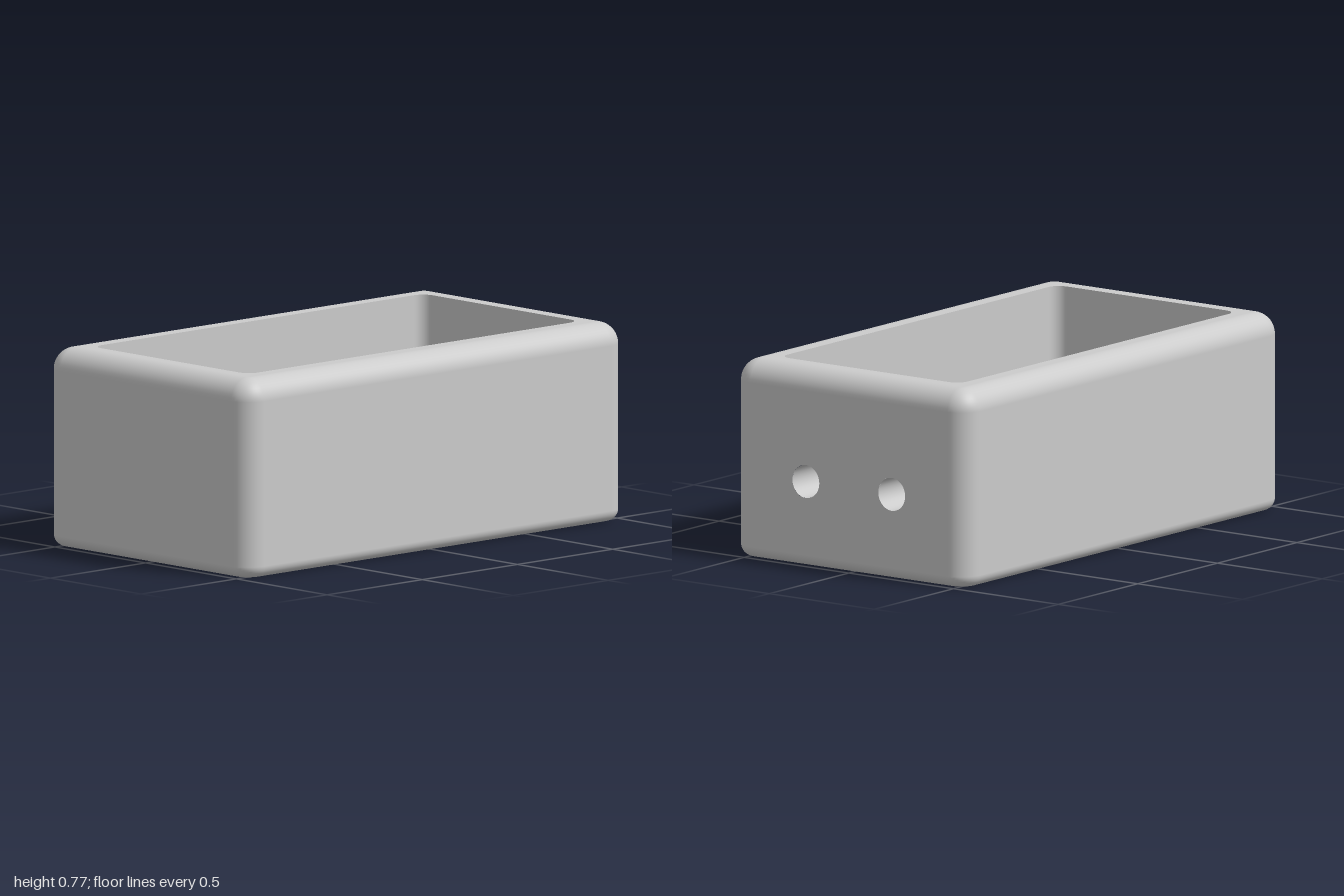
import * as THREE from 'three';

const HX = 0.56, HZ = 1, H = 0.766;         // outer half sizes and height
const CORNER = 0.09, TOP = 0.085, BOTTOM = 0.045; // edge radii
const FLOOR = 0.437, POCKET = 0.125;        // tray floor and pocket floor heights
const SEG = 10;                             // segments per rounded edge
const mat = new THREE.MeshStandardMaterial({ color: 0xcccccc });
const holeMat = new THREE.MeshStandardMaterial({ color: 0xcccccc, side: THREE.BackSide });

// Rounded rectangle outline: [x, z, normalX, normalZ] per point
function outline(hx, hz, r, cz = 0) {
  const pts = [];
  [[1, 1], [-1, 1], [-1, -1], [1, -1]].forEach(([sx, sz], k) => {
    for (let i = 0; i <= SEG; i++) {
      const a = (k + i / SEG) * Math.PI / 2, c = Math.cos(a), s = Math.sin(a);
      pts.push([sx * (hx - r) + r * c, cz + sz * (hz - r) + r * s, c, s]);
    }
  });
  return pts;
}

// Skin between stacked outlines; rows are { pts, y, out, up } with the normal split into out and up
function loft(rows, inward = false, skip = () => false) {
  const pos = [], nor = [], idx = [], n = rows[0].pts.length, f = inward ? -1 : 1;
  for (const { pts, y, out, up } of rows)
    for (const [x, z, nx, nz] of pts) {
      pos.push(x, y, z);
      nor.push(f * nx * out, up, f * nz * out);
    }
  for (let j = 0; j < rows.length - 1; j++)
    for (let i = 0; i < n; i++) {
      if (skip(i, j)) continue;
      const a = j * n + i, d = j * n + (i + 1) % n, b = a + n, c = d + n;
      idx.push(...(inward ? [a, d, b, b, d, c] : [a, b, d, b, c, d]));
    }
  const g = new THREE.BufferGeometry();
  g.setAttribute('position', new THREE.Float32BufferAttribute(pos, 3));
  g.setAttribute('normal', new THREE.Float32BufferAttribute(nor, 3));
  g.setIndex(idx);
  return g;
}

// Horizontal face bounded by an outline, with optional openings
function flat(pts, y, holes = [], down = false) {
  const s = down ? 1 : -1, v = p => new THREE.Vector2(p[0], s * p[1]);
  const shape = new THREE.Shape(pts.map(v));
  shape.holes = holes.map(h => new THREE.Path(h.map(v)));
  return new THREE.ShapeGeometry(shape).rotateX(s * Math.PI / 2).translate(0, y, 0);
}

export function createModel() {
  const model = new THREE.Group();
  const add = (name, geo, parent = model, m = mat) => {
    const mesh = new THREE.Mesh(geo, m);
    mesh.name = name;
    parent.add(mesh);
    return mesh;
  };

  // Outer shell with rounded bottom and top edges
  const rows = [];
  const row = (r, yc, a) => {
    const inset = r * (1 - Math.cos(a));
    rows.push({
      pts: outline(HX - inset, HZ - inset, CORNER - inset),
      y: yc + r * Math.sin(a), out: Math.cos(a), up: Math.sin(a),
    });
  };
  for (let i = 0; i <= SEG; i++) row(BOTTOM, BOTTOM, (i / SEG - 1) * Math.PI / 2);
  for (let i = 0; i <= SEG; i++) row(TOP, H - TOP, (i / SEG) * Math.PI / 2);
  const backSpan = 3 * (SEG + 1) - 1;
  add('outerShell', loft(rows, false, (i, j) => i === backSpan && j === SEG));
  add('underside', flat(rows[0].pts, 0, [], true));

  // Tray cavity, rim and the floor around the pockets
  const cavity = outline(0.43, 0.87, 0.05);
  const pockets = [-1, 1].map(s => outline(0.315, 0.315, 0.006, s * 0.427));
  const wall = (pts, y0, y1) => loft([{ pts, y: y0, out: 1, up: 0 }, { pts, y: y1, out: 1, up: 0 }], true);
  add('rim', flat(rows[rows.length - 1].pts, H, [cavity]));
  add('trayWalls', wall(cavity, FLOOR, H));
  add('trayFloor', flat(cavity, FLOOR, pockets));

  // Two square pockets
  pockets.forEach((pts, i) => {
    const pocket = new THREE.Group();
    pocket.name = i ? 'frontPocket' : 'backPocket';
    add('pocketWalls', wall(pts, POCKET, FLOOR), pocket);
    add('pocketFloor', flat(pts, POCKET), pocket);
    model.add(pocket);
  });

  // Flat back panel with two round blind holes
  const w = HX - CORNER, holeX = 0.205, holeY = 0.33, holeR = 0.064, depth = 0.19;
  const panel = new THREE.Shape([[-w, BOTTOM], [w, BOTTOM], [w, H - TOP], [-w, H - TOP]]
    .map(p => new THREE.Vector2(...p)));
  for (const s of [-1, 1]) {
    panel.holes.push(new THREE.Path().absarc(s * holeX, holeY, holeR, 0, Math.PI * 2, true));
    const hole = new THREE.Group();
    hole.name = s > 0 ? 'leftHole' : 'rightHole';
    hole.position.set(s * holeX, holeY, -HZ);
    add('holeWall', new THREE.CylinderGeometry(holeR, holeR, depth, 32, 1, true)
      .rotateX(Math.PI / 2).translate(0, 0, depth / 2), hole, holeMat);
    add('holeEnd', new THREE.CircleGeometry(holeR, 32).rotateY(Math.PI).translate(0, 0, depth), hole);
    model.add(hole);
  }
  add('backPanel', new THREE.ShapeGeometry(panel, 32).rotateY(Math.PI).translate(0, 0, -HZ));
  return model;
}
